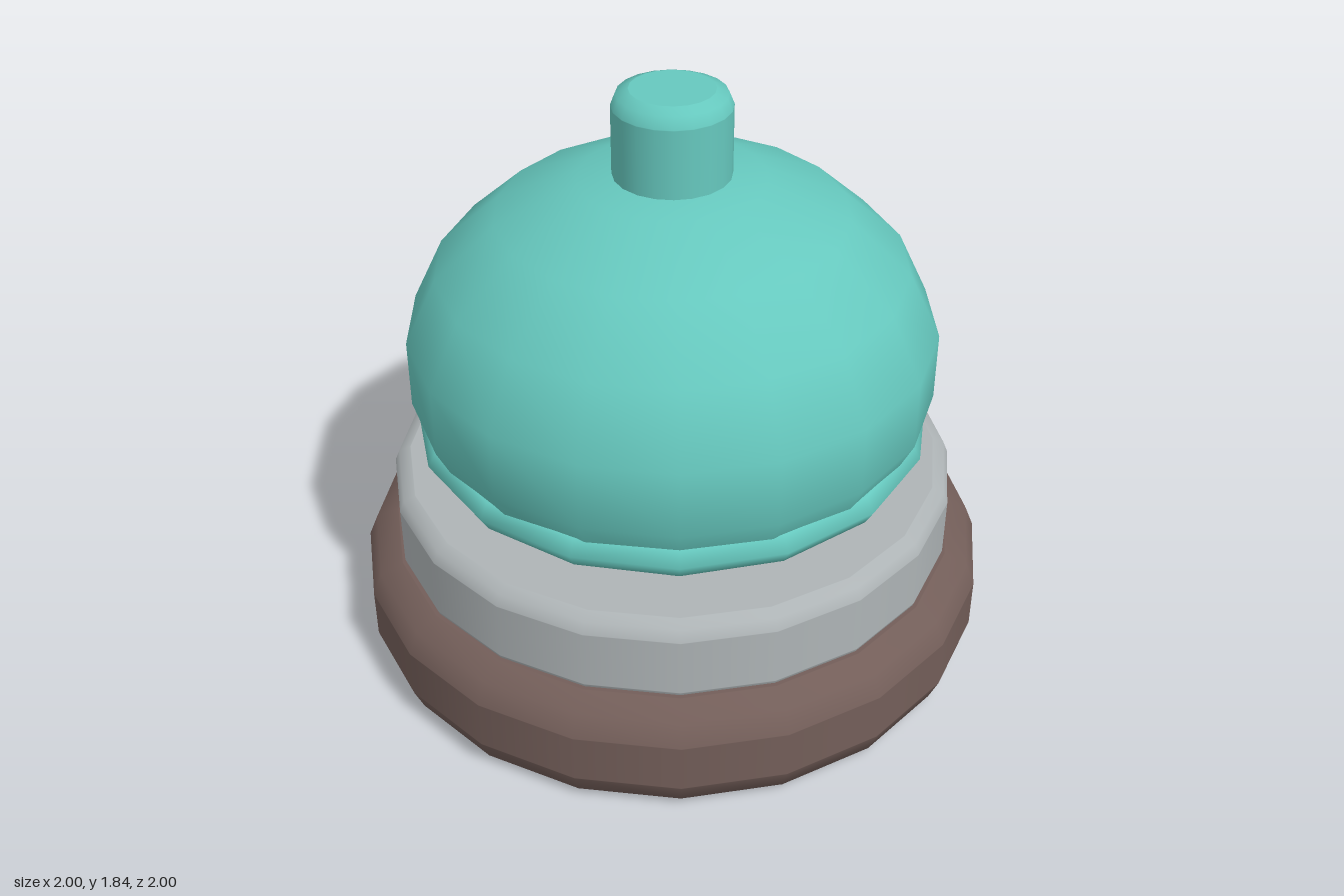
import * as THREE from 'three';

const teal = new THREE.MeshStandardMaterial({ color: 0x66c8be });
teal.name = 'teal';
const grey = new THREE.MeshStandardMaterial({ color: 0xaeb4b6 });
grey.name = 'light grey';
const brown = new THREE.MeshStandardMaterial({ color: 0x735e59 });
brown.name = 'brown';

// Round disc with two-step rounded edges; extra loops keep the flats flat
function bevelledDisc(radius, bottom, top, bevel, sides) {
  const e = 0.002, m = bevel * (1 - Math.SQRT1_2);
  const half = [[0, 0], [radius - bevel - e, 0], [radius - bevel, 0], [radius - m, m], [radius, bevel], [radius, bevel + e]];
  const points = [
    ...half.map(([r, y]) => new THREE.Vector2(r, bottom + y)),
    ...half.reverse().map(([r, y]) => new THREE.Vector2(r, top - y)),
  ];
  return new THREE.LatheGeometry(points, sides);
}

export function createModel() {
  const model = new THREE.Group();
  model.name = 'deskBell';
  const add = (name, geometry, material) => {
    const mesh = new THREE.Mesh(geometry, material);
    mesh.name = name;
    model.add(mesh);
    return mesh;
  };

  // Stacked base
  add('base', bevelledDisc(1, 0, 0.36, 0.1, 20), brown);
  add('collar', bevelledDisc(0.89, 0.32, 0.61, 0.05, 20), grey);

  // Flattened bell dome, its lower end sunk in the collar
  const dome = add('dome', new THREE.SphereGeometry(1, 18, 9, Math.PI / 2), teal);
  dome.scale.set(0.822, 0.62, 0.822);
  dome.position.y = 0.98;

  // Rim around the dome
  const rim = add('rim', new THREE.TorusGeometry(0.747, 0.055, 6, 16), teal);
  rim.rotation.x = Math.PI / 2;
  rim.position.y = 0.755;

  // Push button
  add('button', bevelledDisc(0.177, 1.5, 1.84, 0.05, 20), teal);

  return model;
}
